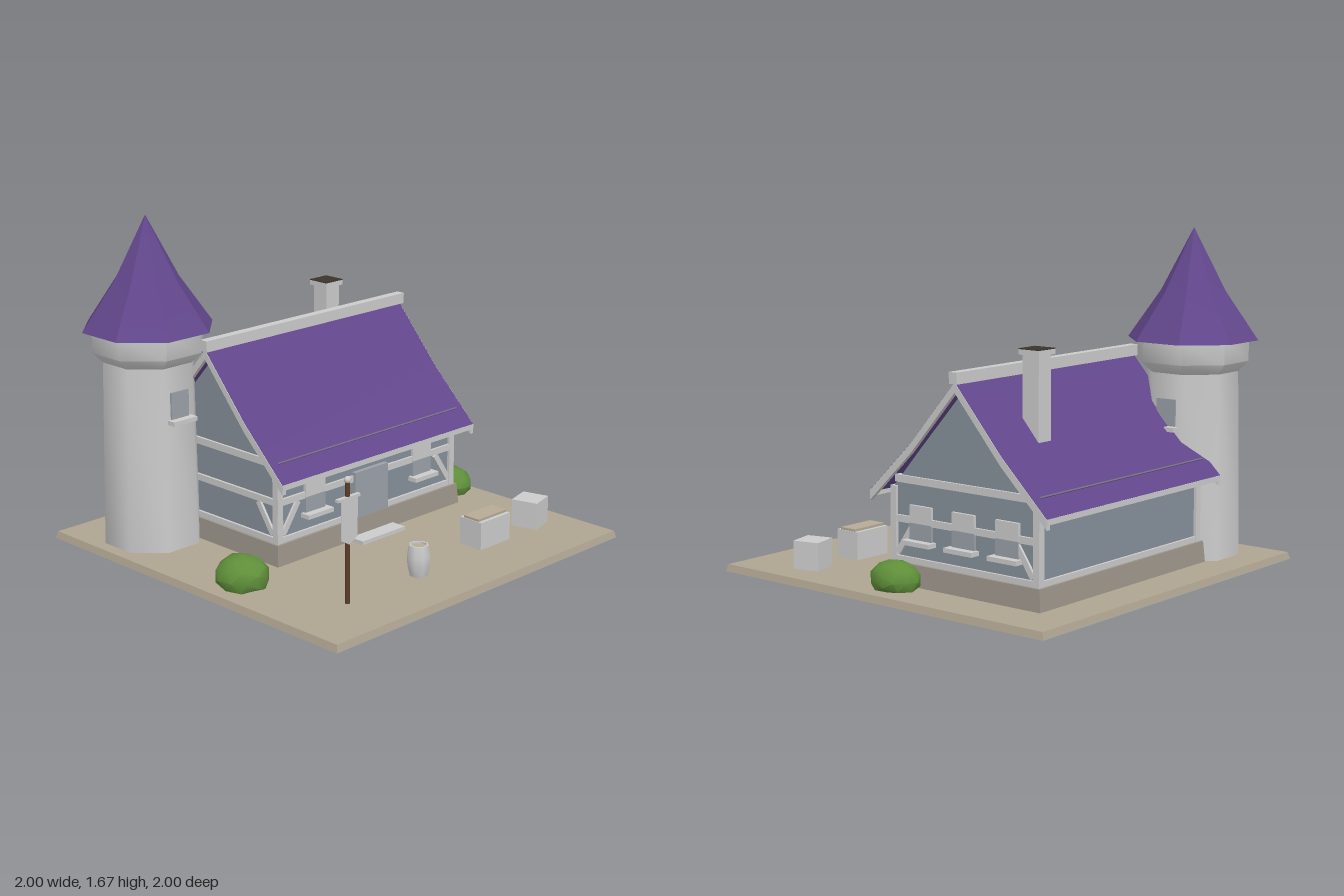
import * as THREE from 'three';
import { toCreasedNormals } from 'three/addons/utils/BufferGeometryUtils.js';

const mat = (color, extra = {}) => new THREE.MeshStandardMaterial({ color, ...extra });
const GREY = mat(0xcccccc);
const WALL = mat(0x86909a);
const PANE = mat(0x9aa1a8);
const PURPLE = mat(0x62478c, { side: THREE.DoubleSide });
const STRIP = mat(0x756a86);
const EARTH = mat(0xafa491);
const PLINTH = mat(0x9c958a);
const WOOD = mat(0x5a3d28);
const TAN = mat(0xb5aa94);
const DARK = mat(0x3a342c);
const LEAF = mat(0x5f8f3a);

function add(parent, name, geo, material, x = 0, y = 0, z = 0) {
  const m = new THREE.Mesh(geo, material);
  m.name = name;
  m.position.set(x, y, z);
  parent.add(m);
  return m;
}

// Box given by its min and max corners
function box(parent, name, material, x0, x1, y0, y1, z0, z1) {
  return add(parent, name, new THREE.BoxGeometry(x1 - x0, y1 - y0, z1 - z0), material,
    (x0 + x1) / 2, (y0 + y1) / 2, (z0 + z1) / 2);
}

// Box whose top is drawn in by a fixed inset
function taperedBox(w, h, d, inset) {
  const g = new THREE.BoxGeometry(w, h, d);
  const p = g.attributes.position;
  for (let i = 0; i < p.count; i++) {
    if (p.getY(i) > 0) {
      p.setX(i, p.getX(i) - Math.sign(p.getX(i)) * inset);
      p.setZ(i, p.getZ(i) - Math.sign(p.getZ(i)) * inset);
    }
  }
  g.computeVertexNormals();
  return g;
}

// Lathe with few sides, flats facing the axes, creased at sharp bends
function turned(points, sides, crease) {
  const g = new THREE.LatheGeometry(points.map(([r, y]) => new THREE.Vector2(r, y)), sides);
  g.rotateY(Math.PI / sides);
  return toCreasedNormals(g, crease);
}

// Symmetric cross-section (distance from ridge, height) extruded along x
function alongX(pts, x0, x1) {
  const shape = new THREE.Shape(pts.map(([u, y]) => new THREE.Vector2(u, y)));
  const g = new THREE.ExtrudeGeometry(shape, { depth: x1 - x0, bevelEnabled: false });
  g.rotateY(Math.PI / 2);
  g.translate(x0, 0, 0);
  return toCreasedNormals(g, 0.5);
}

const RIDGE_Z = -0.316;
const ROOF = [[0, 1.035], [0.27, 0.729], [0.534, 0.474]];
// Chevron band following the roof line, from top offset to bottom offset
function chevron(top, bottom) {
  const half = (o, s) => ROOF.map(([u, y]) => [s * u, y + o]);
  return [...half(top, -1).reverse(), ...half(top, 1).slice(1),
    ...half(bottom, 1).reverse(), ...half(bottom, -1).slice(1)];
}

// Shallow window with a projecting sill
function windowBox(parent, x, y, w, h, z, headMaterial) {
  box(parent, 'windowHead', headMaterial, x - w / 2, x + w / 2, y + h / 2, y + h, z - 0.03, z + 0.015);
  box(parent, 'windowPane', PANE, x - w / 2, x + w / 2, y, y + h / 2, z - 0.03, z + 0.015);
  box(parent, 'windowSill', GREY, x - w / 2 - 0.018, x + w / 2 + 0.018, y - 0.016, y + 0.006, z - 0.03, z + 0.054);
}

// Timber frame on a wall facing local +z, origin at the wall's foot
function timberFrame(half, topBeam, windows, detailed) {
  const g = new THREE.Group();
  const t = 0.015;
  for (const s of [-1, 1]) {
    const a = s * half, b = s * (half - 0.035);
    box(g, 'cornerPost', GREY, Math.min(a, b), Math.max(a, b), 0.135, 0.5, -0.02, t);
    if (detailed) {
      const brace = add(g, 'brace', new THREE.BoxGeometry(0.03, 0.18, 0.025), GREY, s * (half - 0.09), 0.253, 0);
      brace.rotation.z = s * 0.6;
    }
  }
  const beams = [[0.135, 0.168], topBeam];
  if (detailed) beams.push([0.33, 0.363]);
  for (const [y0, y1] of beams) box(g, 'beam', GREY, -half + 0.03, half - 0.03, y0, y1, -0.02, t - 0.002);
  for (const x of windows) windowBox(g, x, 0.25, 0.135, 0.17, 0, GREY);
  return g;
}

function makeHouse() {
  const g = new THREE.Group();
  g.name = 'house';
  const cx = 0.1025, hx = 0.632, hz = 0.45;
  add(g, 'plinth', taperedBox(1.304, 0.11, 0.94, 0.008), PLINTH, cx, 0.085, RIDGE_Z);
  const side = [[0.436, 0.1], [0.436, 0.5], [0.27, 0.69], [0, 0.99]];
  const outline = [...side, ...side.slice(0, -1).reverse().map(([u, y]) => [-u, y])];
  add(g, 'walls', alongX(outline, cx - hx + 0.014, cx + hx - 0.014), WALL, 0, 0, RIDGE_Z);

  // Timber on all four sides
  const frames = [
    ['frontFrame', timberFrame(hx, [0.445, 0.48], [-0.378, 0.385], true), 0, cx, RIDGE_Z + hz - 0.014],
    ['backFrame', timberFrame(hx, [0.445, 0.48], [], false), Math.PI, cx, RIDGE_Z - hz + 0.014],
    ['rightFrame', timberFrame(hz, [0.52, 0.555], [-0.262, 0, 0.262], true), Math.PI / 2, cx + hx - 0.014, RIDGE_Z],
    ['leftFrame', timberFrame(hz, [0.52, 0.555], [], true), -Math.PI / 2, cx - hx + 0.014, RIDGE_Z],
  ];
  for (const [name, f, ry, x, z] of frames) {
    f.name = name;
    f.rotation.y = ry;
    f.position.set(x, 0, z);
    g.add(f);
  }
  box(g, 'door', PANE, -0.01, 0.225, 0.135, 0.38, 0.1, 0.145);
  box(g, 'doorStep', GREY, -0.05, 0.255, 0.035, 0.055, 0.13, 0.236);

  // Roof slab, gable boards, eave boards, ridge
  add(g, 'roof', alongX(chevron(0, -0.024), -0.575, 0.785), PURPLE, 0, 0, RIDGE_Z);
  for (const [x0, x1] of [[-0.578, -0.555], [0.765, 0.788]])
    add(g, 'gableBoard', alongX(chevron(-0.003, -0.05), x0, x1), GREY, 0, 0, RIDGE_Z);
  for (const s of [-1, 1]) {
    const z = RIDGE_Z + s * 0.526;
    box(g, 'eaveBoard', GREY, -0.575, 0.785, 0.446, 0.473, z - 0.01, z + 0.01);
    const strip = add(g, 'roofStrip', new THREE.BoxGeometry(1.27, 0.01, 0.008), STRIP, 0.105, 0.552, RIDGE_Z + s * 0.455);
    strip.rotation.x = s * 0.77;
  }
  box(g, 'ridgeBeam', GREY, -0.585, 0.8, 1.025, 1.08, RIDGE_Z - 0.023, RIDGE_Z + 0.023);

  // Chimney
  box(g, 'chimneyStack', GREY, 0.41, 0.5, 0.7, 1.15, -0.572, -0.478);
  box(g, 'chimneyCap', GREY, 0.395, 0.515, 1.145, 1.17, -0.585, -0.465);
  box(g, 'chimneyTop', DARK, 0.395, 0.515, 1.17, 1.174, -0.585, -0.465);
  return g;
}

function makeTower() {
  const g = new THREE.Group();
  g.name = 'tower';
  g.position.set(-0.695, 0, -0.595);
  add(g, 'shaft', turned([[0.25, 0.035], [0.232, 0.97]], 8, 1), GREY);
  add(g, 'collar', turned([[0.228, 0.96], [0.283, 1.016], [0.283, 1.13]], 8, 0.79), GREY);
  const cone = turned([[0, 1.12], [0.33, 1.12], [0.163, 1.36], [0, 1.672]], 8, 0.3);
  add(g, 'coneRoof', cone, PURPLE);
  for (const ry of [0, Math.PI / 2]) {
    const w = new THREE.Group();
    w.name = 'towerWindow';
    windowBox(w, 0, 0.7, 0.11, 0.14, 0.212, PANE);
    w.rotation.y = ry;
    g.add(w);
  }
  return g;
}

function makeBanner() {
  const g = new THREE.Group();
  g.name = 'banner';
  g.position.set(-0.625, 0, 0.695);
  add(g, 'pole', new THREE.CylinderGeometry(0.012, 0.012, 0.59, 8), WOOD, 0, 0.325, 0);
  add(g, 'finial', new THREE.SphereGeometry(0.017, 10, 8), GREY, 0, 0.633, 0);
  box(g, 'crossbar', GREY, -0.072, 0.072, 0.541, 0.555, -0.007, 0.013);
  const cloth = new THREE.Shape([[-0.053, 0.545], [-0.053, 0.355], [0, 0.325], [0.053, 0.355], [0.053, 0.545]]
    .map(([x, y]) => new THREE.Vector2(x, y)));
  add(g, 'cloth', new THREE.ExtrudeGeometry(cloth, { depth: 0.003, bevelEnabled: false }), GREY, 0, 0, 0.01);
  return g;
}

// Squashed, slightly lumpy ball with a flat bottom
function makeBush(parent, x, z, rx, h, rz, turn) {
  const geo = new THREE.IcosahedronGeometry(1, 1);
  geo.rotateY(turn);
  const p = geo.attributes.position;
  const v = new THREE.Vector3();
  for (let i = 0; i < p.count; i++) {
    v.fromBufferAttribute(p, i);
    v.multiplyScalar(1 + 0.04 * Math.sin(5 * v.x + 3 * v.z) * Math.cos(4 * v.y));
    p.setXYZ(i, v.x, Math.max(v.y, -0.6), v.z);
  }
  geo.scale(rx, h / 1.6, rz);
  add(parent, 'bush', toCreasedNormals(geo, 0.8), LEAF, x, 0.035 + h * 0.6 / 1.6, z);
}

export function createModel() {
  const g = new THREE.Group();
  g.name = 'houseWithTower';
  add(g, 'ground', taperedBox(2, 0.035, 2, 0.01), EARTH, 0, 0.0175, 0);
  g.add(makeHouse(), makeTower(), makeBanner());
  makeBush(g, -0.83, 0.21, 0.13, 0.16, 0.135, 0.4);
  makeBush(g, 0.848, 0.003, 0.106, 0.145, 0.134, 1.1);

  // Barrel with a sunken lid
  const barrel = [[0, 0.036], [0.045, 0.036], [0.058, 0.09], [0.058, 0.135], [0.048, 0.19], [0.039, 0.19], [0.039, 0.175]];
  add(g, 'barrel', turned(barrel, 8, 0.9), GREY, -0.14, 0, 0.692);
  add(g, 'barrelLid', new THREE.CylinderGeometry(0.042, 0.042, 0.005, 8), TAN, -0.14, 0.178, 0.692);

  // Chest with a low lid, and a turned crate
  box(g, 'chest', GREY, 0.311, 0.529, 0.035, 0.176, 0.555, 0.692);
  box(g, 'chestLid', TAN, 0.315, 0.525, 0.176, 0.188, 0.575, 0.672);
  const crate = add(g, 'crate', new THREE.BoxGeometry(0.138, 0.14, 0.138), GREY, 0.77, 0.105, 0.622);
  crate.rotation.y = 0.26;
  return g;
}
